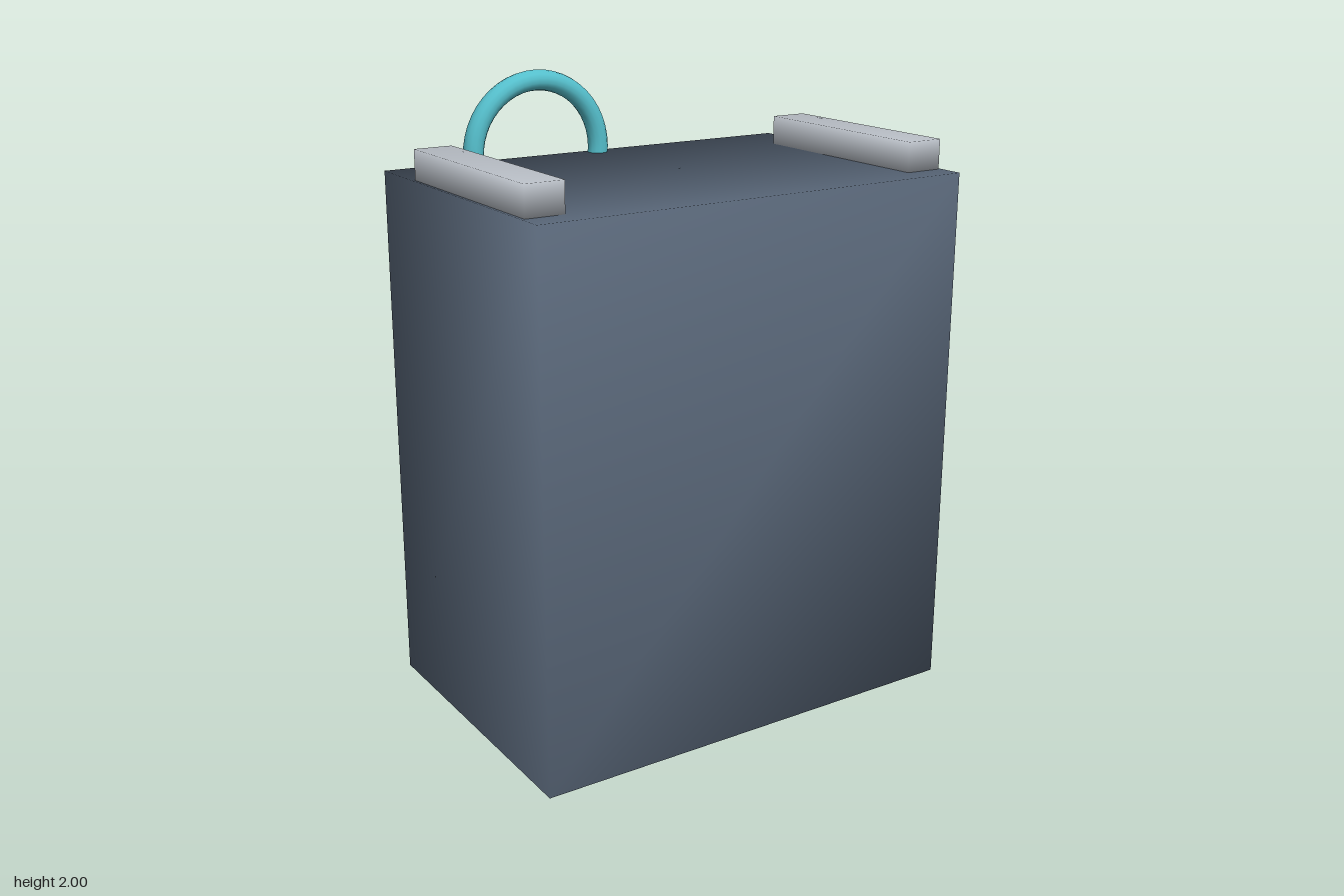
import * as THREE from 'three';
import { mergeVertices } from 'three/addons/utils/BufferGeometryUtils.js';

const mat = (name, color) => {
  const m = new THREE.MeshStandardMaterial({ color });
  m.name = name;
  return m;
};

// Welds the corners so that normals run smoothly over every edge
function soften(geometry) {
  geometry.deleteAttribute('uv');
  geometry.deleteAttribute('normal');
  const g = mergeVertices(geometry, 1e-4);
  g.computeVertexNormals();
  return g;
}

export function createModel() {
  const slate = mat('slate', 0x5a687a);
  const silver = mat('silver', 0xc6ccd4);
  const cyan = mat('cyan', 0x55bfcc);
  const screenBlue = mat('screen blue', 0x285f8a);
  const gold = mat('gold', 0xcfb26c);
  const dark = mat('dark slate', 0x48526a);
  const green = mat('green', 0x44c49c);
  const copper = mat('copper', 0xd4935a);
  const steel = mat('steel blue', 0x86a4bc);
  const amber = mat('amber', 0xd9a441);

  const model = new THREE.Group();
  model.name = 'consoleCabinet';

  const add = (name, geometry, material, x, y, z) => {
    const mesh = new THREE.Mesh(soften(geometry), material);
    mesh.name = name;
    mesh.position.set(x, y, z);
    model.add(mesh);
    return mesh;
  };
  const box = (name, material, w, h, d, x, y, z) =>
    add(name, new THREE.BoxGeometry(w, h, d), material, x, y, z);
  // Cylinder lying along z
  const disc = (name, material, r, d, x, y, z) =>
    add(name, new THREE.CylinderGeometry(r, r, d, 20).rotateX(-Math.PI / 2), material, x, y, z);

  // Cabinet, top rails and ring handle
  box('cabinet', slate, 1.49, 1.715, 0.995, 0, 0.8575, 0.0875);
  for (const s of [-1, 1]) box('topRail', silver, 0.125, 0.095, 0.7, s * 0.673, 1.7625, 0.15);
  add('ringHandle', new THREE.TorusGeometry(0.2315, 0.0335, 14, 48), cyan, -0.22, 1.735, -0.379);

  // Display on the back
  box('displayFrame', silver, 1.314, 0.735, 0.08, 0, 1.1575, -0.45);
  box('displayScreen', screenBlue, 1.18, 0.58, 0.027, 0, 1.155, -0.5035);
  for (let i = 0; i < 4; i++) {
    const y = 1.357 - i * 0.136;
    box('longReadout', cyan, 0.435, 0.016, 0.018, 0.187, y, -0.526);
    box('shortReadout', i % 2 ? green : amber, 0.16, 0.016, 0.018, -0.35, y, -0.526);
  }

  // Two rows of dials with dark caps
  [[4, 0.706], [6, 0.531]].forEach(([count, y]) => {
    for (let i = 0; i < count; i++) {
      const x = 0.41 - i * 0.164;
      disc('dial', gold, 0.093, 0.065, x, y, -0.5025);
      disc('dialCap', dark, 0.0625, 0.022, x, y, -0.555);
    }
  });

  // Switches and indicator lights
  for (let i = 0; i < 7; i++) {
    const x = 0.534 - i * 0.178;
    box('switch', silver, 0.09, 0.052, 0.105, x, 0.597, -0.4625);
    box('indicator', i % 3 ? dark : green, 0.1, 0.034, 0.07, x, 0.407, -0.445);
  }

  // Push buttons
  for (let i = 0; i < 8; i++) {
    box('pushButton', copper, 0.085, 0.107, 0.08, 0.52 - i * 0.1485, 0.273, -0.481);
  }

  // Large knobs along the bottom
  for (let i = 0; i < 4; i++) {
    disc('bottomKnob', gold, 0.077, 0.118, 0.561 - i * 0.374, 0.098, -0.527);
  }

  // Studs up both sides of the panel
  for (const s of [-1, 1]) {
    for (let i = 0; i < 5; i++) {
      box('stud', steel, 0.055, 0.058, 0.037, s * 0.664, 1.068 - i * 0.177, -0.4285);
    }
  }
  return model;
}
